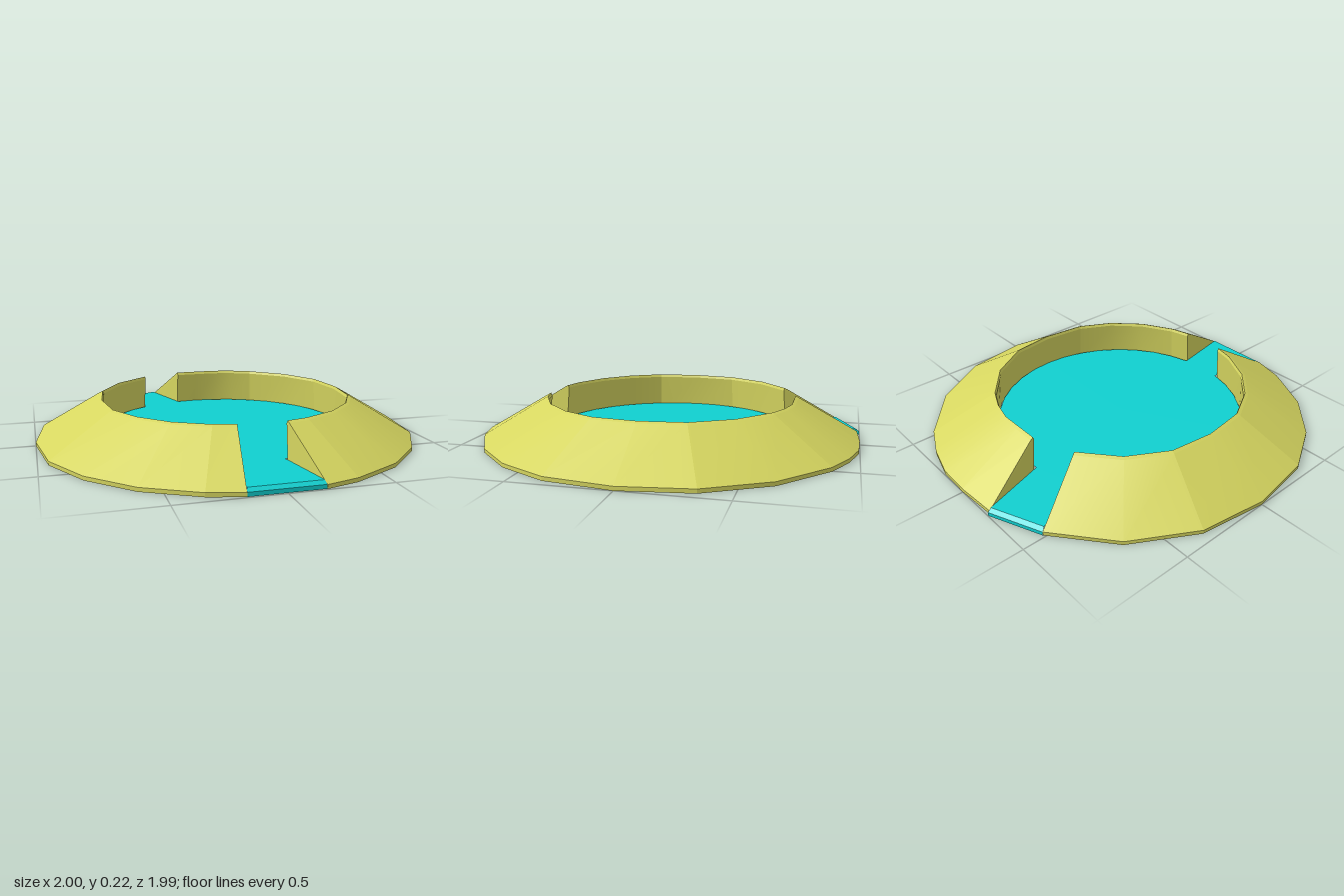
import * as THREE from 'three';

const yellow = new THREE.MeshStandardMaterial({ color: 0xd6d660, side: THREE.DoubleSide });
yellow.name = 'mustard yellow';
const teal = new THREE.MeshStandardMaterial({ color: 0x10d0d0, side: THREE.DoubleSide });
teal.name = 'turquoise';

const FLOOR_Y = 0.035;

// Hollow rim cross-section: nominal radius, axis limit, height, ring (outer or inner)
const PROFILE = [
  [1.01, 1.0, 0, 'out'],
  [1.01, 1.0, 0.02, 'out'],
  [0.685, 0.672, 0.212, 'in'],
  [0.668, 0.656, 0.22, 'in'],
  [0.662, 0.65, 0.205, 'in'],
  [0.68, 0.67, 0, 'in'],
];

// Polar point, flattened slightly where the ring meets the axes
function ringPoint(angle, [r, limit, y]) {
  const a = THREE.MathUtils.degToRad(angle);
  const clamp = (v) => THREE.MathUtils.clamp(v, -limit, limit);
  return [clamp(r * Math.cos(a)), y, clamp(-r * Math.sin(a))];
}

function makeMesh(name, positions, index, material) {
  const g = new THREE.BufferGeometry();
  g.setAttribute('position', new THREE.Float32BufferAttribute(positions.flat(), 3));
  g.setIndex(index);
  g.computeVertexNormals();
  const mesh = new THREE.Mesh(g, material);
  mesh.name = name;
  return mesh;
}

// One wall section between two angles, each given as { out, in } degrees
function wallSection(name, start, end, steps, capStart, capEnd) {
  const section = new THREE.Group();
  section.name = name;
  const at = (t, p) => ringPoint(THREE.MathUtils.lerp(start[p[3]], end[p[3]], t), p);

  // Bands are separate so the edges between them stay sharp
  const positions = [];
  const index = [];
  for (let k = 0; k < PROFILE.length - 1; k++) {
    const base = positions.length;
    for (let i = 0; i <= steps; i++) {
      positions.push(at(i / steps, PROFILE[k]), at(i / steps, PROFILE[k + 1]));
    }
    for (let i = 0; i < steps; i++) {
      const a = base + i * 2;
      index.push(a, a + 2, a + 3, a, a + 3, a + 1);
    }
  }
  section.add(makeMesh(name + 'Shell', positions, index, yellow));

  // Flat end caps beside the doorways
  const cap = (t) => {
    const idx = [];
    for (let i = 1; i < PROFILE.length - 1; i++) {
      idx.push(...(t ? [0, i + 1, i] : [0, i, i + 1]));
    }
    return makeMesh(name + 'EndCap', PROFILE.map((p) => at(t, p)), idx, yellow);
  };
  if (capStart) section.add(cap(0));
  if (capEnd) section.add(cap(1));
  return section;
}

// Doorway floor: trapezoid from the inner ring outward, with a sloped outer lip
function doorwayFloor(name, innerA, innerB, outerA, outerB) {
  const inset = 0.98;
  const pts = [
    [innerA[0], FLOOR_Y, innerA[1]],
    [innerB[0], FLOOR_Y, innerB[1]],
    [outerB[0] * inset, FLOOR_Y, outerB[1] * inset],
    [outerA[0] * inset, FLOOR_Y, outerA[1] * inset],
    [outerA[0] * inset, FLOOR_Y, outerA[1] * inset],
    [outerB[0] * inset, FLOOR_Y, outerB[1] * inset],
    [outerB[0], 0.02, outerB[1]],
    [outerA[0], 0.02, outerA[1]],
    [outerA[0], 0.02, outerA[1]],
    [outerB[0], 0.02, outerB[1]],
    [outerB[0], 0, outerB[1]],
    [outerA[0], 0, outerA[1]],
  ];
  const index = [];
  for (let q = 0; q < 12; q += 4) index.push(q, q + 2, q + 1, q, q + 3, q + 2);
  return makeMesh(name, pts, index, teal);
}

export function createModel() {
  const group = new THREE.Group();
  group.name = 'ringArena';

  // Wall sections, counter-clockwise from above; the breaks are the doorways
  const same = (d) => ({ out: d, in: d });
  const backGapA = { out: 102.4, in: 100 };
  const backGapB = { out: 118.8, in: 120 };
  const frontGapA = { out: 259.8, in: 259.6 };
  const frontGapB = { out: 280.2, in: 280.4 };
  const sections = [
    ['wallLeft', same(-20), same(20), 2],
    ['wallBackLeft', same(20), same(60), 2],
    ['wallBack', same(60), same(90), 3],
    ['wallBackDoorLeft', same(90), backGapA, 1, false, true],
    ['wallBackRight', backGapB, same(160), 2, true, false],
    ['wallRight', same(160), same(200), 2],
    ['wallFrontRight', same(200), same(250), 3],
    ['wallFrontDoorRight', same(250), frontGapA, 1, false, true],
    ['wallFrontDoorLeft', frontGapB, same(290), 1, true, false],
    ['wallFrontLeft', same(290), same(340), 3],
  ];
  for (const s of sections) group.add(wallSection(...s));

  // Round floor
  const disc = new THREE.Mesh(new THREE.CircleGeometry(0.662, 36), teal);
  disc.name = 'floor';
  disc.rotation.x = -Math.PI / 2;
  disc.position.y = FLOOR_Y;
  group.add(disc);

  // Doorway floors
  group.add(doorwayFloor('frontDoorwayFloor', [-0.115, 0.64], [0.115, 0.64], [-0.178, 0.992], [0.178, 0.992]));
  group.add(doorwayFloor('backDoorwayFloor', [-0.115, -0.645], [-0.33, -0.565], [-0.22, -0.998], [-0.487, -0.886]));

  return group;
}
